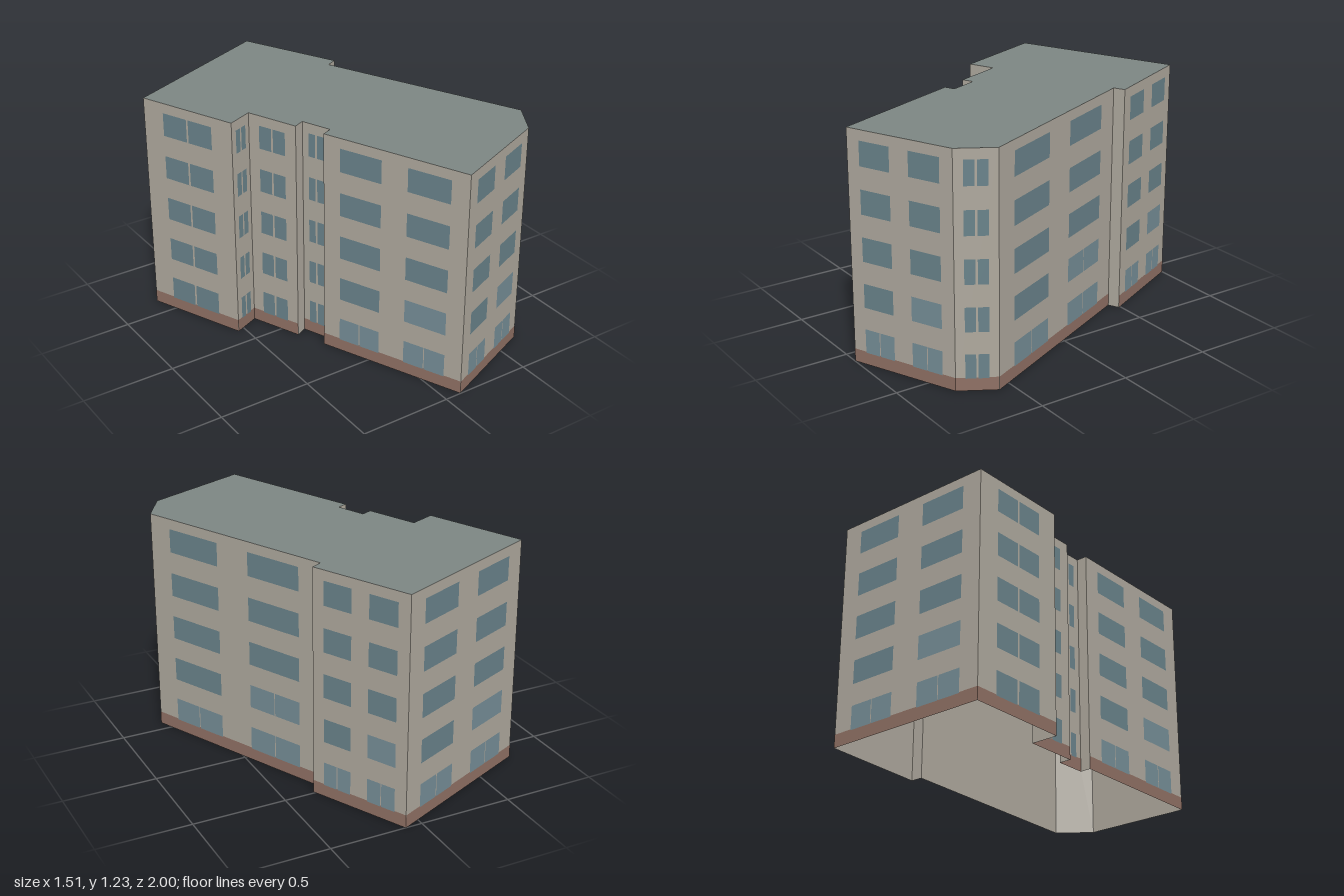
import * as THREE from 'three';

const HEIGHT = 1.225, FLOORS = 5, PITCH = 0.2445, SILL = 0.065, WINDOW_H = 0.128, PLINTH_H = 0.07;

// Footprint corners [x, z], clockwise from above. The third value is the number of
// window bays on the wall from this corner to the next (0 = plain return wall).
const PLAN = [
  [0.09, -1, 2], [0.336, -0.487, 0], [0.279, -0.459, 2], [0.752, 0.575, 1],
  [0.645, 0.757, 2], [0.09, 0.997, 2], [-0.227, 0.248, 0], [-0.173, 0.225, 1],
  [-0.235, 0.071, 0], [-0.293, 0.098, 1], [-0.403, -0.168, 1], [-0.538, -0.109, 1],
  [-0.755, -0.627, 2],
];

const material = (color, side = THREE.FrontSide) => new THREE.MeshStandardMaterial({ color, side });

export function createModel() {
  const building = new THREE.Group();
  building.name = 'apartmentBuilding';

  const wallMat = material(0xaea89d, THREE.DoubleSide);
  const roofMat = material(0x7c8582, THREE.DoubleSide);
  const plinthMat = material(0x8f7064);
  const glassMat = material(0x69828a);
  const paleGlassMat = material(0x758d96);

  // Upright rectangle in a wall's own plane: x along the wall, z outwards
  const panel = (parent, name, mat, x0, x1, y0, y1, z) => {
    const mesh = new THREE.Mesh(new THREE.PlaneGeometry(x1 - x0, y1 - y0), mat);
    mesh.name = name;
    mesh.position.set((x0 + x1) / 2, (y0 + y1) / 2, z);
    parent.add(mesh);
  };

  // Window, optionally divided into two panes by a gap
  const addWindow = (parent, mat, x0, x1, y, gap) => {
    const mid = (x0 + x1) / 2;
    const panes = gap ? [[x0, mid - gap / 2], [mid + gap / 2, x1]] : [[x0, x1]];
    for (const [a, b] of panes) panel(parent, 'windowPane', mat, a, b, y, y + WINDOW_H, 0.002);
  };

  PLAN.forEach(([bx, bz, bays], i) => {
    const [ax, az] = PLAN[(i + 1) % PLAN.length];
    const length = Math.hypot(bx - ax, bz - az);
    const wall = new THREE.Group();
    wall.name = bays ? 'windowedWall' : 'plainWall';
    wall.position.set(ax, 0, az);
    wall.rotation.y = Math.atan2(az - bz, bx - ax);
    building.add(wall);

    panel(wall, 'wallSurface', wallMat, 0, length, 0, HEIGHT, 0);
    if (!bays) return;

    // Brick plinth with the windows cut around it
    panel(wall, 'plinth', plinthMat, 0, length, 0, PLINTH_H, 0.001);

    const spans = bays === 1 ? [[0.225, 0.775]] : [[0.12, 0.41], [0.59, 0.88]];
    for (let floor = 0; floor < FLOORS; floor++) {
      spans.forEach(([s, e], bay) => {
        // Single bays always have two panes; wide ones only near the ground
        const divided = floor === 0 || (floor === 1 && bay === 1 && length > 1);
        const gap = bays === 1 ? 0.011 : divided ? 0.005 : 0;
        const pale = floor === 0 || (floor === 1 && bay === 1);
        addWindow(wall, bays === 2 && pale ? paleGlassMat : glassMat,
          s * length, e * length, SILL + floor * PITCH, gap);
      });
    }
  });

  // Flat roof over the whole footprint
  const outline = new THREE.Shape(PLAN.map(([x, z]) => new THREE.Vector2(x, -z)));
  const roof = new THREE.Mesh(new THREE.ShapeGeometry(outline).rotateX(-Math.PI / 2), roofMat);
  roof.name = 'roof';
  roof.position.y = HEIGHT;
  building.add(roof);

  return building;
}
